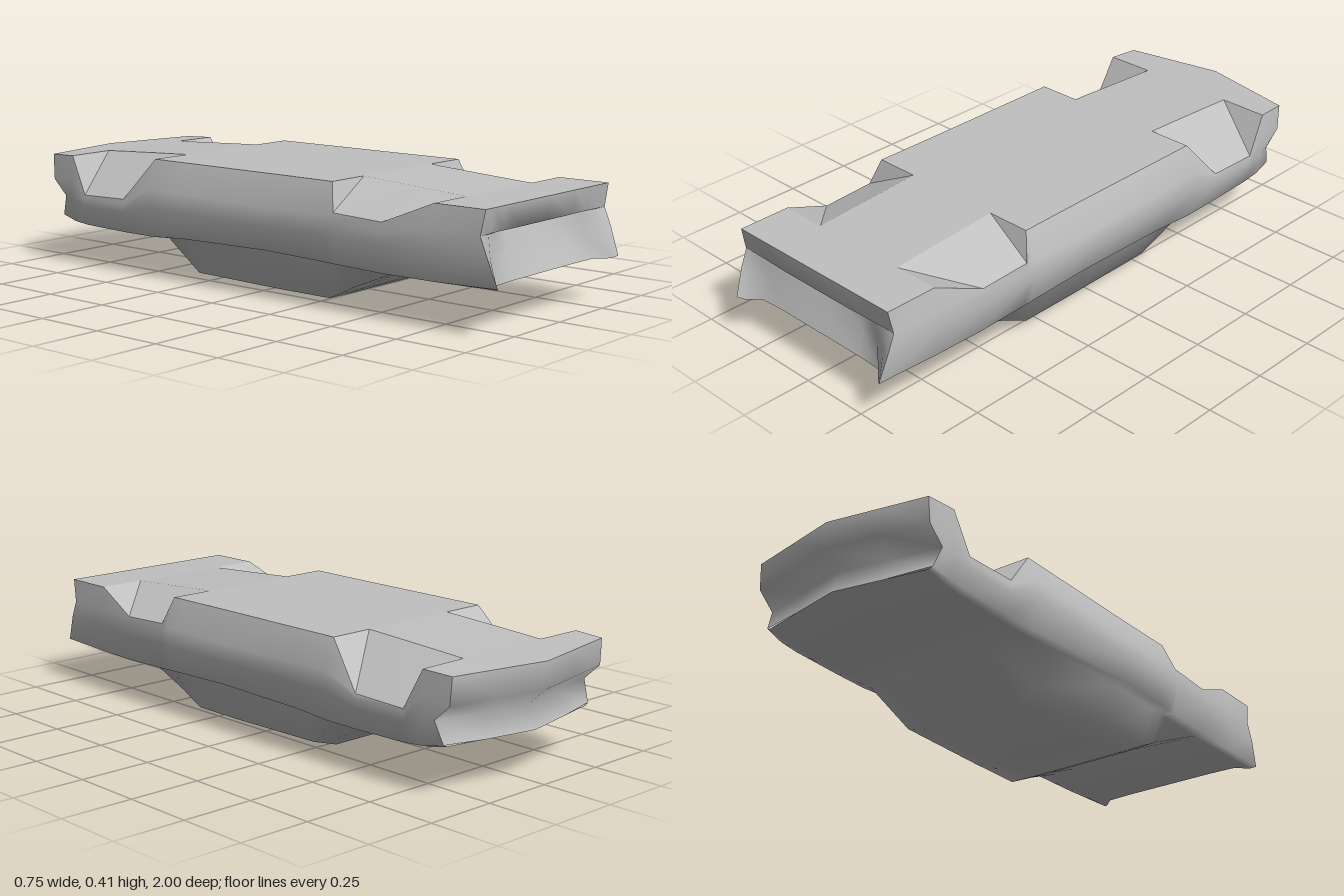
import * as THREE from 'three';

// Body sections, front to back:
// z, floorY, rimX, rimY, sideX, sideY, lowSideY, sillX, sillY, shoulderY, roofY
const SECTIONS = [
  [0.955, 0.39, 0.345, 0.39, 0.35, 0.31, 0.25, 0.342, 0.157, 0.15, 0.15],
  [0.77, 0.39, 0.346, 0.39, 0.362, 0.31, 0.25, 0.35, 0.152, 0.147, 0.147],
  [0.59, 0.401, 0.369, 0.315, 0.371, 0.29, 0.245, 0.355, 0.152, 0.145, 0.145],
  [0.4, 0.413, 0.371, 0.323, 0.374, 0.295, 0.25, 0.356, 0.157, 0.068, 0.064],
  [0.37, 0.415, 0.338, 0.415, 0.374, 0.315, 0.25, 0.356, 0.158, 0.052, 0.048],
  [0.31, 0.415, 0.337, 0.415, 0.374, 0.315, 0.25, 0.356, 0.16, 0.024, 0.022],
  [0.1, 0.415, 0.335, 0.415, 0.374, 0.31, 0.25, 0.356, 0.165, 0.024, 0],
  [-0.27, 0.415, 0.335, 0.415, 0.374, 0.315, 0.25, 0.356, 0.158, 0.03, 0],
  [-0.42, 0.415, 0.335, 0.415, 0.372, 0.315, 0.25, 0.355, 0.148, 0.138, 0.138],
  [-0.55, 0.409, 0.366, 0.266, 0.368, 0.25, 0.22, 0.352, 0.147, 0.139, 0.139],
  [-0.75, 0.399, 0.363, 0.26, 0.364, 0.246, 0.22, 0.348, 0.15, 0.145, 0.145],
  [-0.82, 0.395, 0.355, 0.394, 0.362, 0.31, 0.24, 0.346, 0.156, 0.15, 0.15],
  [-0.93, 0.39, 0.347, 0.39, 0.35, 0.3, 0.245, 0.338, 0.172, 0.166, 0.166],
];
const FRONT_Z = [0, 0, 0, -0.015, 0.01, 0.045, 0.03, -0.01, -0.015, -0.015];
const REAR_Z = [0, 0, 0, 0.005, 0.065, 0.04, 0.04, 0.04, 0.04, 0.04];
const rearBow = (x) => -0.07 * (1 - Math.abs(x) / 0.35);

// Half section, from the middle of the floor around to the middle of the roof
function halfSection(s, i) {
  const [z, floorY, rimX, rimY, sideX, sideY, lowY, sillX, sillY, shoulderY, roofY] = s;
  const pts = [
    [0, floorY], [0.18, floorY], [rimX, rimY], [sideX, sideY], [sideX, lowY],
    [sillX, sillY], [0.322, sillY - 0.007], [0.28, shoulderY], [0.18, roofY], [0, roofY],
  ];
  return pts.map(([x, y], k) => {
    let dz = 0;
    if (i === 0) dz = FRONT_Z[k];
    if (i === SECTIONS.length - 1) dz = REAR_Z[k] + rearBow(x);
    return [x, y, z + dz];
  });
}

const flip = ([x, y, z]) => [-x, y, z];

// Surface through rows of points; turnDiagonal picks how each cell is split
function surface(rows, turnDiagonal = () => false) {
  const n = rows[0].length, index = [];
  for (let r = 0; r < rows.length - 1; r++) {
    for (let c = 0; c < n - 1; c++) {
      const a = r * n + c, b = a + 1, d = a + n, e = d + 1;
      if (turnDiagonal(r, c)) index.push(a, b, e, a, e, d);
      else index.push(a, b, d, b, e, d);
    }
  }
  const g = new THREE.BufferGeometry();
  g.setAttribute('position', new THREE.Float32BufferAttribute(rows.flat(2), 3));
  g.setIndex(index);
  g.computeVertexNormals();
  return g;
}

function faceted(geometry) {
  const g = geometry.toNonIndexed();
  g.computeVertexNormals();
  return g;
}

export function createModel() {
  const group = new THREE.Group();
  const grey = new THREE.MeshStandardMaterial({ color: 0xc0c0c0, side: THREE.DoubleSide });
  grey.name = 'plain grey';
  const add = (name, geometry) => {
    const mesh = new THREE.Mesh(geometry, grey);
    mesh.name = name;
    group.add(mesh);
  };
  const halves = SECTIONS.map(halfSection);

  // Smooth sides, sills and cabin, both sides in one sheet
  add('bodyShell', surface(halves.map((h) => [
    ...h.slice(2),
    ...h.slice(2, 9).reverse().map(flip),
  ])));

  // Flat floor with the four sloping wheel wells
  const notched = SECTIONS.map((s) => s[3] < s[1] - 0.05);
  const floorRows = halves.map((h) => [flip(h[2]), flip(h[1]), h[0], h[1], h[2]]);
  add('floorAndWheelWells', faceted(surface(floorRows, (r, c) => (c >= 2) === notched[r + 1])));

  // Row of points across the width, given as half (middle to edge)
  const across = (half) => [...half.slice(1).reverse().map(flip), ...half];

  // Hollow front panel between the two corner fins, bottom to top
  const f = halves[0];
  add('frontPanel', surface([
    across([f[9], f[8], f[7], f[6], f[5]]),
    across([[0, 0.225, 0.905], [0.17, 0.225, 0.91], [0.255, 0.225, 0.925], [0.31, 0.235, 0.95], f[4]]),
    across([[0, 0.303, 0.875], [0.15, 0.303, 0.89], [0.24, 0.305, 0.92], [0.3, 0.308, 0.935], f[3]]),
  ]));
  add('frontLip', surface([
    across([[0, 0.303, 0.875], [0.15, 0.303, 0.89], [0.24, 0.305, 0.92], [0.3, 0.308, 0.935], f[3]]),
    across([[0, 0.312, 0.945], [0.15, 0.312, 0.945], [0.24, 0.312, 0.942], [0.3, 0.311, 0.94], f[3]]),
    across([f[0], [0.15, 0.39, 0.955], [0.24, 0.39, 0.955], [0.3, 0.39, 0.955], f[2]]),
  ]));

  // Bowed rear panel with a groove under the bumper, top to bottom
  const b = halves[halves.length - 1];
  const rearRow = (y, dz, edge) => across([
    [0, y, -0.93 + dz + rearBow(0)],
    [0.18, y, -0.93 + dz + rearBow(0.18)],
    edge,
  ]);
  add('rearPanel', surface([
    rearRow(0.39, 0, b[2]),
    rearRow(0.3, 0.005, b[3]),
    rearRow(0.245, 0.065, b[4]),
    rearRow(0.166, 0.04, b[5]),
  ]));

  return group;
}
